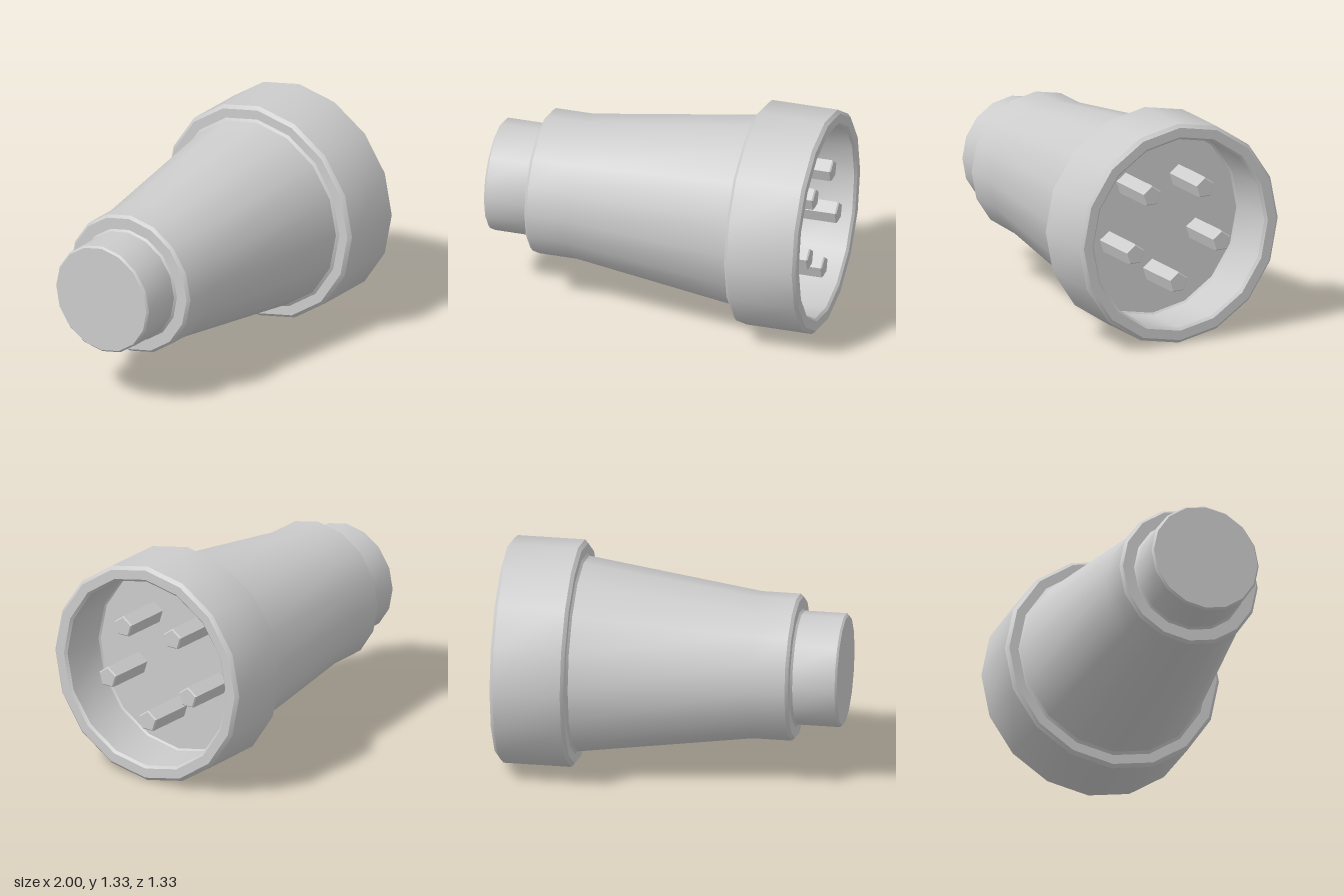
import * as THREE from 'three';
import { toCreasedNormals } from 'three/addons/utils/BufferGeometryUtils.js';

const AXIS_Y = 0.665;

// Revolve [x, radius] pairs about the x axis; bevels stay crisp, sides stay smooth
function revolve(profile, sides, phiStart, material, name) {
  const points = profile.map(([x, r]) => new THREE.Vector2(r, x));
  const lathe = new THREE.LatheGeometry(points, sides, phiStart);
  lathe.rotateZ(-Math.PI / 2);
  const mesh = new THREE.Mesh(toCreasedNormals(lathe, 0.5), material);
  mesh.name = name;
  return mesh;
}

export function createModel() {
  const group = new THREE.Group();
  group.name = 'plugConnector';
  const grey = new THREE.MeshStandardMaterial({ color: 0xcccccc });
  grey.name = 'grey';

  // Shell: cable neck, tapered grip, collar and open socket
  const shell = revolve([
    [-1, 0], [-1, 0.322], [-0.988, 0.333],
    [-0.738, 0.333], [-0.726, 0.345],
    [-0.726, 0.414], [-0.708, 0.43],
    [-0.48, 0.43], [0.55, 0.572],
    [0.562, 0.588], [0.562, 0.645], [0.582, 0.665],
    [0.98, 0.665], [1, 0.645],
    [1, 0.588], [0.986, 0.573],
    [0.68, 0.573], [0.67, 0.563], [0.67, 0],
  ], 16, 0, grey, 'shell');
  shell.position.y = AXIS_Y;
  group.add(shell);

  // Five contact pins standing on the socket floor
  const pins = new THREE.Group();
  pins.name = 'contactPins';
  const spots = [[-0.178, 0.914], [0.178, 0.914], [-0.289, 0.574], [0.289, 0.574], [0, 0.365]];
  spots.forEach(([z, y], i) => {
    const pin = revolve([
      [0.66, 0.066], [0.972, 0.066], [0.98, 0.058], [0.98, 0],
    ], 5, -Math.PI / 2, grey, `pin${i + 1}`);
    pin.position.set(0, y, z);
    pins.add(pin);
  });
  group.add(pins);

  return group;
}
